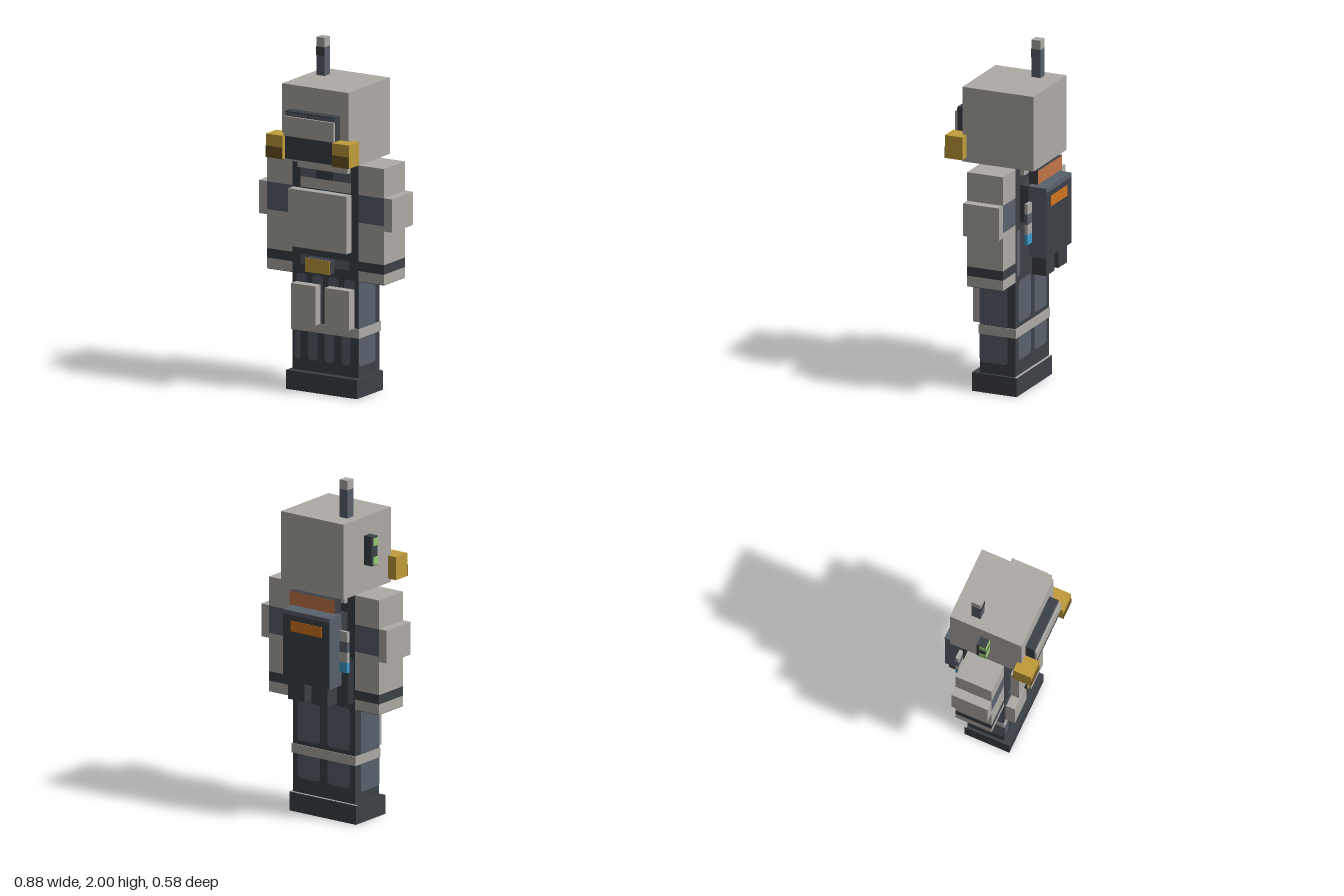
import * as THREE from 'three';

const mat = (name, color) => {
  const m = new THREE.MeshStandardMaterial({ color });
  m.name = name;
  return m;
};

export function createModel() {
  const root = new THREE.Group();
  root.name = 'blockyExplorer';
  const light = mat('light grey', 0xaeaaa5), slate = mat('slate', 0x59616c), dark = mat('charcoal', 0x3c4147);
  const yellow = mat('yellow', 0xc09c3a), olive = mat('olive', 0x6a5424), green = mat('green', 0x98ca72);
  const orange = mat('orange', 0xd07420), brown = mat('brown', 0xc37548), blue = mat('blue', 0x3c9ccc);

  // Box from its lower and upper corners; a material array follows +x -x +y -y +z -z
  const box = (name, m, x0, x1, y0, y1, z0, z1) => {
    const mesh = new THREE.Mesh(new THREE.BoxGeometry(x1 - x0, y1 - y0, z1 - z0), m);
    mesh.position.set((x0 + x1) / 2, (y0 + y1) / 2, (z0 + z1) / 2);
    mesh.name = name;
    root.add(mesh);
  };
  // Same box on both sides
  const pair = (name, m, x0, x1, ...rest) => {
    box('left' + name, m, x0, x1, ...rest);
    box('right' + name, m, -x1, -x0, ...rest);
  };
  // Flat patch with rounded corners (r bottom, rt top) on a body face
  const patch = (name, side, u0, u1, y0, y1, r = 0.02, rt = r) => {
    const s = new THREE.Shape();
    s.moveTo(u0 + r, y0);
    s.lineTo(u1 - r, y0);
    s.quadraticCurveTo(u1, y0, u1, y0 + r);
    s.lineTo(u1, y1 - rt);
    s.quadraticCurveTo(u1, y1, u1 - rt, y1);
    s.lineTo(u0 + rt, y1);
    s.quadraticCurveTo(u0, y1, u0, y1 - rt);
    s.lineTo(u0, y0 + r);
    s.quadraticCurveTo(u0, y0, u0 + r, y0);
    const mesh = new THREE.Mesh(new THREE.ShapeGeometry(s, 5), slate);
    mesh.name = name;
    if (side === 'front') mesh.position.z = 0.1;
    if (side === 'back') { mesh.rotation.y = Math.PI; mesh.position.z = -0.128; }
    if (side === 'left') { mesh.rotation.y = Math.PI / 2; mesh.position.x = 0.223; }
    if (side === 'right') { mesh.rotation.y = -Math.PI / 2; mesh.position.x = -0.223; }
    root.add(mesh);
  };

  // Head and antenna
  box('head', light, -0.22, 0.22, 1.34, 1.78, -0.235, 0.205);
  box('antennaRod', slate, -0.165, -0.11, 1.78, 1.945, -0.125, -0.07);
  box('antennaMark', dark, -0.165, -0.11, 1.895, 1.945, -0.07, -0.067);
  box('antennaTip', light, -0.165, -0.11, 1.945, 2, -0.125, -0.07);

  // Ear device with two lamps
  box('earDevice', dark, -0.275, -0.22, 1.5, 1.67, -0.045, 0.01);
  for (const y of [1.5, 1.61]) {
    box('earLampFront', green, -0.275, -0.22, y, y + 0.06, 0.01, 0.013);
    box('earLampSide', green, -0.278, -0.275, y + 0.005, y + 0.05, -0.03, 0.01);
  }

  // Visor and breathing filters
  box('visor', dark, -0.165, 0.165, 1.365, 1.64, 0.205, 0.26);
  box('visorTrim', slate, -0.165, 0.165, 1.61, 1.632, 0.26, 0.263);
  box('visorShield', light, -0.165, 0.165, 1.5, 1.613, 0.26, 0.275);
  pair('Filter', yellow, 0.165, 0.275, 1.365, 1.5, 0.18, 0.288);
  pair('FilterGrille', olive, 0.165, 0.275, 1.365, 1.432, 0.288, 0.291);

  // Body and collar
  box('body', dark, -0.22, 0.22, 0.11, 1.34, -0.125, 0.097);
  box('collar', light, -0.165, 0.165, 1.288, 1.34, -0.15, 0.127);
  box('chestInset', slate, -0.165, 0.165, 1.23, 1.288, 0.097, 0.1);
  box('chestSlot', dark, -0.06, 0.055, 1.23, 1.285, 0.1, 0.103);
  box('chestStripe', light, -0.165, 0.165, 1.17, 1.23, 0.097, 0.1);
  box('chestLamp', blue, -0.03, 0.06, 1.12, 1.165, 0.097, 0.1);
  box('chestPlate', light, -0.195, 0.193, 0.84, 1.172, 0.127, 0.18);
  box('buckle', dark, -0.083, 0.08, 0.705, 0.785, 0.127, 0.177);
  box('buckleFace', yellow, -0.083, 0.08, 0.705, 0.785, 0.177, 0.181);
  patch('waistPatch', 'front', -0.165, 0.165, 0.725, 0.78);
  for (const u of [-0.21, 0.17]) patch('backPatch', 'back', u, u + 0.04, 0.7, 0.97, 0.015);

  // Arms, built as stacked bands
  const bands = [[light, 0.67, 0.73], [dark, 0.73, 0.785], [light, 0.785, 1.01], [slate, 1.01, 1.17], [light, 1.17, 1.34]];
  bands.forEach(([m, a, b], i) => pair('ArmBand' + i, m, 0.22, 0.388, a, b, -0.125, 0.097));
  pair('ArmUnderside', dark, 0.222, 0.386, 0.667, 0.67, -0.123, 0.095);
  pair('ElbowPad', light, 0.388, 0.442, 0.98, 1.172, -0.125, 0.097);

  // Trouser patches
  for (let i = 0; i < 4; i++) {
    const x = [-0.165, -0.082, 0.028, 0.138][i];
    patch('shinFold', 'front', x - (i ? 0.031 : 0.035), x + (i ? 0.031 : 0), 0.175, 0.342, i ? 0.028 : 0.015, 0);
    patch('thighFold', 'front', -0.19 + i * 0.105, -0.12 + i * 0.105, 0.395, 0.672, 0.005, 0.03);
  }
  for (const u of [-0.185, 0.025]) {
    patch('backThighPatch', 'back', u, u + 0.16, 0.42, 0.67, 0.025);
    patch('backShinPatch', 'back', u, u + 0.16, 0.2, 0.34, 0.03, 0.01);
  }
  for (const [side, f] of [['left', -1], ['right', 1]]) {
    const a = f < 0 ? -0.096 : -0.075, b = f < 0 ? 0.075 : 0.096;
    patch(side + 'ThighPatch', side, a, b, 0.395, 0.67, 0.01, 0.01);
    patch(side + 'ShinPatch', side, a, b, 0.175, 0.34, 0.02, 0);
  }
  box('legBand', light, -0.225, 0.225, 0.34, 0.395, -0.13, 0.102);
  pair('ThighPad', light, 0.03, 0.193, 0.395, 0.62, 0.097, 0.153);

  // Boots
  box('boots', dark, -0.235, 0.235, 0, 0.11, -0.138, 0.138);
  box('bootTrim', light, -0.235, 0.235, 0.11, 0.113, -0.138, -0.125);

  // Backpack, rolled blanket, pouches and side straps
  box('packMount', dark, -0.165, 0.165, 1.01, 1.23, -0.18, -0.125);
  box('backpack', [slate, slate, slate, dark, dark, dark], -0.165, 0.165, 0.815, 1.23, -0.29, -0.18);
  box('packEdge', slate, -0.165, 0.165, 1.205, 1.23, -0.292, -0.29);
  box('packStripe', orange, -0.11, 0.11, 1.11, 1.172, -0.293, -0.29);
  box('blanketRoll', [dark, dark, dark, dark, dark, brown], -0.16, 0.16, 1.245, 1.325, -0.235, -0.18);
  pair('Pouch', [dark, dark, dark, orange, dark, dark], 0.025, 0.14, 0.705, 0.815, -0.275, -0.19);
  [blue, light, slate, light].forEach((m, i) =>
    pair('Strap' + i, m, 0.165, 0.22, 0.9 + i * 0.06, 0.96 + i * 0.06, -0.2, -0.18));

  return root;
}
